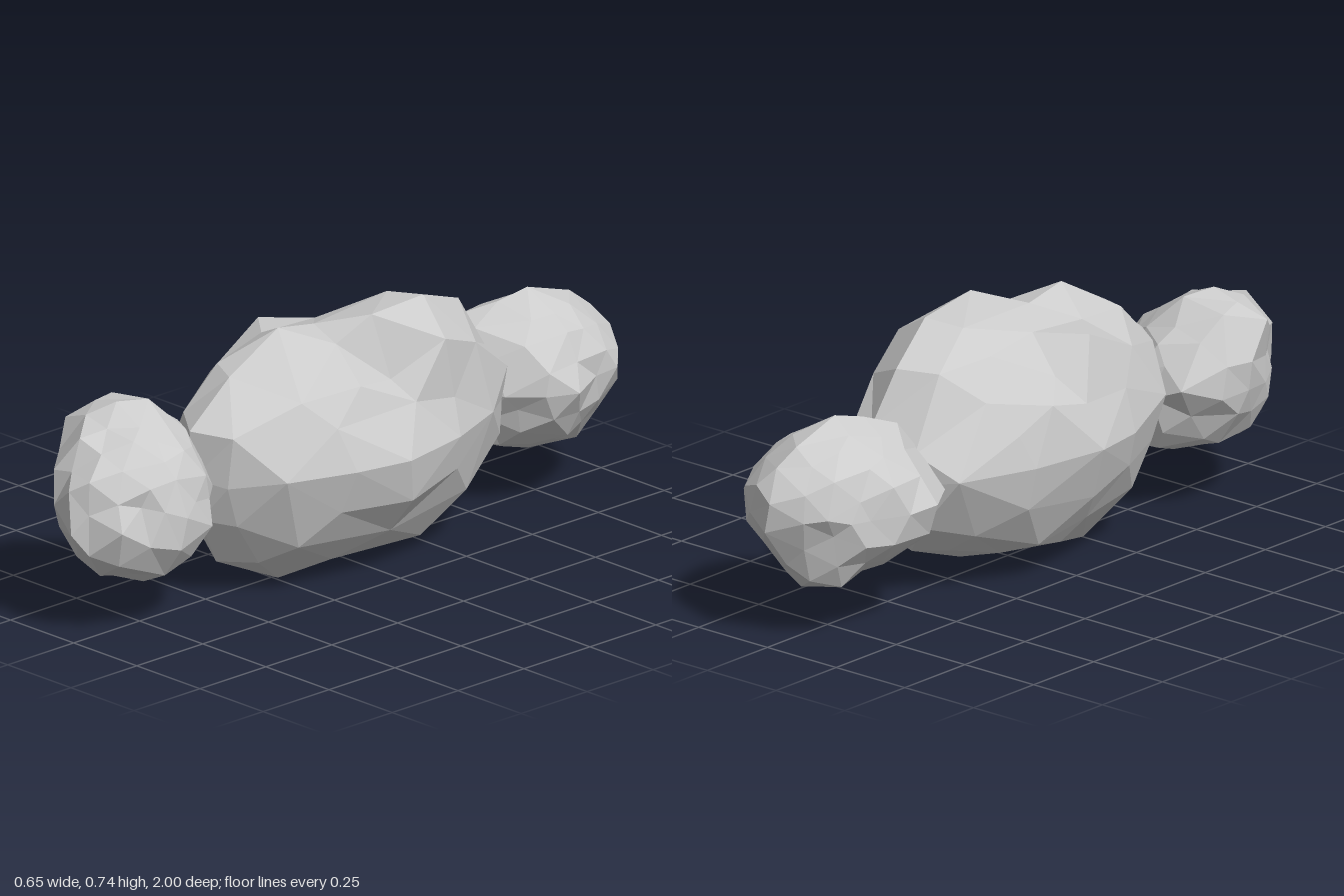
import * as THREE from 'three';
import { ConvexGeometry } from 'three/addons/geometries/ConvexGeometry.js';

const material = new THREE.MeshStandardMaterial({ color: 0xcccccc, flatShading: true });

// Small seeded generator, values from -1 to 1
function seeded(seed) {
  let s = seed;
  return () => {
    s = (s * 16807) % 2147483647;
    return (s / 2147483647) * 2 - 1;
  };
}

// Faceted boulder: a ball of directions pushed out through a few landmark corners,
// with rough corners filled in between them
function boulder(name, { center, radii, seed, rough, corners }) {
  const rand = seeded(seed);
  const mid = new THREE.Vector3(...center);
  const size = new THREE.Vector3(...radii);

  // Landmarks as direction and radius on the unit ball
  const landmarks = corners.map((c) => {
    const dir = new THREE.Vector3(...c).sub(mid).divide(size);
    const r = dir.length();
    return { dir: dir.normalize(), r };
  });
  const points = [...landmarks];

  // Fill the gaps, blending the radius of the nearby landmarks
  const ball = new THREE.IcosahedronGeometry(1, 2).attributes.position;
  for (let i = 0; i < ball.count; i++) {
    const dir = new THREE.Vector3().fromBufferAttribute(ball, i);
    dir.x += rand() * 0.05;
    dir.y += rand() * 0.05;
    dir.z += rand() * 0.05;
    dir.normalize();
    if (points.some((p) => p.dir.angleTo(dir) < 0.26)) continue;
    let sum = 0;
    let weight = 0;
    for (const l of landmarks) {
      const w = Math.exp(-12 * (1 - l.dir.dot(dir)));
      sum += w * l.r;
      weight += w;
    }
    points.push({ dir, r: (sum / weight) * (0.965 + rough * rand()) });
  }

  // Triangulate on the ball, then move each corner to its radius
  const geo = new ConvexGeometry(points.map((p) => p.dir));
  const pos = geo.attributes.position;
  const v = new THREE.Vector3();
  for (let i = 0; i < pos.count; i++) {
    v.fromBufferAttribute(pos, i);
    const p = points.find((q) => q.dir.distanceToSquared(v) < 1e-8);
    v.multiplyScalar(p.r).multiply(size).add(mid);
    pos.setXYZ(i, v.x, v.y, v.z);
  }
  geo.computeVertexNormals();
  const mesh = new THREE.Mesh(geo, material);
  mesh.name = name;
  return mesh;
}

export function createModel() {
  const group = new THREE.Group();
  group.name = 'rockCluster';

  // Large long boulder
  group.add(boulder('middleBoulder', {
    center: [0, 0.37, 0], radii: [0.32, 0.37, 0.56], seed: 4177, rough: 0.035,
    corners: [
      // top ridge and ends
      [0.135, 0.74, 0], [0.015, 0.73, 0.24], [0.1, 0.73, -0.23], [-0.09, 0.67, 0],
      [0.01, 0.63, 0.42], [0.01, 0.51, 0.57], [0.01, 0.37, 0.56], [0.03, 0.65, -0.43],
      [0.05, 0.5, -0.51], [0.1, 0.25, -0.52], [0, 0.37, -0.54], [0.01, 0.705, 0.1],
      // flanks, with a hollow in each shoulder
      [-0.21, 0.665, 0.1], [-0.27, 0.53, -0.12], [-0.19, 0.57, -0.02], [-0.325, 0.375, 0.03],
      [-0.27, 0.22, 0.05], [-0.2, 0.105, -0.1], [-0.1, 0.025, 0.2], [0.24, 0.65, -0.18],
      [0.19, 0.56, -0.02], [0.25, 0.5, -0.06], [0.12, 0.68, 0.12], [0.325, 0.37, 0.03],
      [0.3, 0.24, 0], [0.21, 0.13, 0], [0.12, 0.04, -0.2],
      // underside
      [0.015, 0, 0.24], [0, 0.04, 0], [0, 0.05, -0.2], [0, 0.12, -0.4],
      [0, 0.1, 0.46], [0.02, 0.245, 0.54],
      // waist
      [0.12, 0.45, -0.53], [0.2, 0.37, -0.4], [0.28, 0.37, -0.2], [0.29, 0.37, 0.2],
      [0.22, 0.37, 0.4], [0.12, 0.5, 0.51], [-0.2, 0.4, 0.43], [-0.29, 0.37, 0.2],
      [-0.28, 0.37, -0.2], [-0.2, 0.37, -0.43], [-0.1, 0.45, -0.5],
    ],
  }));

  // Front rock, leaning towards its upper right side
  group.add(boulder('frontRock', {
    center: [-0.06, 0.36, 0.73], radii: [0.23, 0.24, 0.27], seed: 9013, rough: 0.08,
    corners: [
      // outline seen from the front
      [-0.295, 0.45, 0.68], [-0.225, 0.58, 0.64], [-0.08, 0.6, 0.64], [0, 0.565, 0.75],
      [0.1, 0.49, 0.75], [0.17, 0.34, 0.73], [0.165, 0.25, 0.75], [0.1, 0.16, 0.75],
      [0.015, 0.12, 0.75], [-0.13, 0.17, 0.7], [-0.2, 0.2, 0.65], [-0.27, 0.3, 0.65],
      // nose
      [-0.01, 0.31, 1], [-0.03, 0.43, 0.99], [-0.08, 0.55, 0.9], [0, 0.17, 0.9],
      [-0.12, 0.36, 0.96], [-0.2, 0.36, 0.87], [0.12, 0.33, 0.93], [0.1, 0.38, 0.84],
      // side against the middle boulder
      [-0.1, 0.5, 0.51], [-0.1, 0.2, 0.51], [-0.22, 0.4, 0.47], [-0.12, 0.36, 0.46],
      [0.07, 0.36, 0.54],
    ],
  }));

  // Back rock
  group.add(boulder('backRock', {
    center: [-0.01, 0.36, -0.73], radii: [0.25, 0.235, 0.27], seed: 2711, rough: 0.08,
    corners: [
      // waist
      [0.01, 0.33, -1], [-0.15, 0.38, -0.92], [-0.2, 0.36, -0.8], [-0.25, 0.36, -0.69],
      [-0.27, 0.37, -0.6], [-0.2, 0.37, -0.49], [0, 0.36, -0.47], [0.12, 0.36, -0.52],
      [0.2, 0.36, -0.6], [0.24, 0.36, -0.69], [0.19, 0.37, -0.8], [0.2, 0.38, -0.87],
      [0.1, 0.36, -0.96],
      // top and underside
      [0, 0.6, -0.72], [0, 0.55, -0.88], [0.02, 0.5, -0.94], [0, 0.53, -0.52],
      [0, 0.14, -0.86], [0, 0.13, -0.72], [0, 0.16, -0.62], [0, 0.2, -0.52],
      // shoulders
      [0.16, 0.51, -0.72], [-0.16, 0.51, -0.7], [0.16, 0.21, -0.72], [-0.16, 0.21, -0.7],
    ],
  }));

  return group;
}
